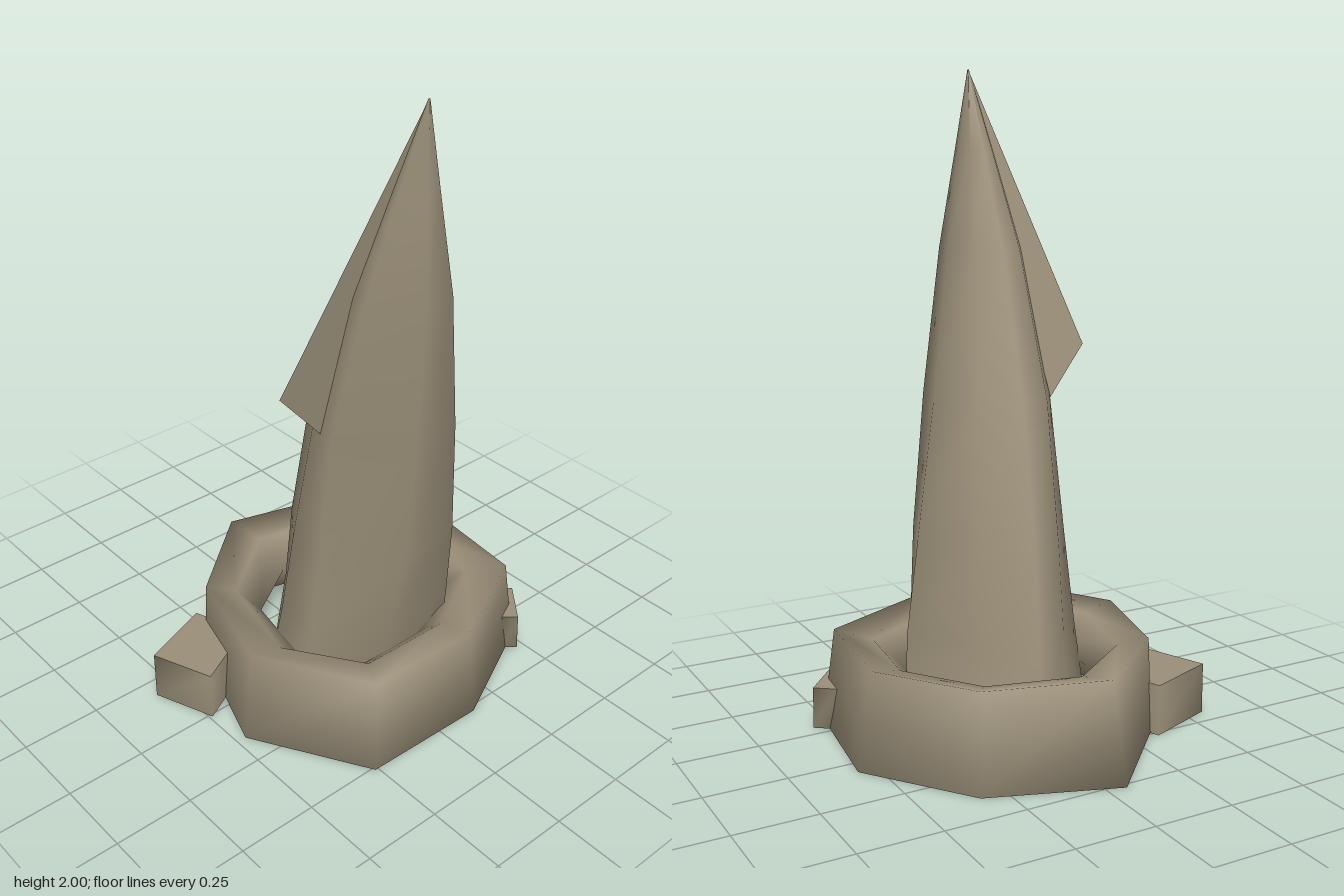
import * as THREE from 'three';

// Skin a stack of equal-length loops (each point is [x, y, z], clockwise seen from above)
function loft(loops, { wrap = false, caps = false } = {}) {
  const n = loops[0].length, m = loops.length;
  const pos = loops.flat(), idx = [];
  for (let j = 0; j < (wrap ? m : m - 1); j++) {
    for (let i = 0; i < n; i++) {
      const k = (i + 1) % n, u = (j + 1) % m;
      const a = j * n + i, b = j * n + k, c = u * n + i, d = u * n + k;
      idx.push(a, c, b, b, c, d);
    }
  }
  if (caps) {
    for (const [loop, up] of [[loops[0], false], [loops[m - 1], true]]) {
      const start = pos.length;
      pos.push(...loop, [0, 1, 2].map((c) => loop.reduce((s, p) => s + p[c], 0) / n));
      for (let i = 0; i < n; i++) {
        const a = start + i, b = start + (i + 1) % n, c = start + n;
        if (up) idx.push(b, a, c); else idx.push(a, b, c);
      }
    }
  }
  const g = new THREE.BufferGeometry();
  g.setAttribute('position', new THREE.Float32BufferAttribute(pos.flat(), 3));
  g.setIndex(idx);
  g.computeVertexNormals();
  return g;
}

export function createModel() {
  const group = new THREE.Group();
  const stone = new THREE.MeshStandardMaterial({ color: 0x9a8f78, side: THREE.DoubleSide });
  stone.name = 'stone';
  const add = (name, geometry) => {
    const mesh = new THREE.Mesh(geometry, stone);
    mesh.name = name;
    group.add(mesh);
  };
  const mix = THREE.MathUtils.lerp;

  // Eight-sided collar: sloped outer wall, top and underside rounding in to meet at the hole
  const outer = [[-0.06, -0.52], [0.33, -0.38], [0.56, -0.06], [0.505, 0.345],
    [0.145, 0.52], [-0.26, 0.51], [-0.47, 0.15], [-0.34, -0.23]];
  const rim = [[-0.055, -0.45], [0.31, -0.345], [0.512, -0.055], [0.47, 0.328],
    [0.135, 0.492], [-0.235, 0.482], [-0.43, 0.145], [-0.335, -0.215]];
  const hole = [[0, -0.24], [0.21, -0.2], [0.33, -0.02], [0.3, 0.17],
    [0.11, 0.29], [-0.12, 0.29], [-0.24, 0.15], [-0.19, -0.12]];
  const middle = rim.map(([x, z], i) => [mix(x, hole[i][0], 0.55), mix(z, hole[i][1], 0.55)]);
  const at = (pts, y) => pts.map(([x, z]) => [x, y, z]);
  add('collar', loft([at(outer, 0), at(rim, 0.295), at(middle, 0.272), at(hole, 0.185),
    at(middle, 0.055)], { wrap: true }));

  // Leaning spike: a section fitted into the extents at each height, turning boxier upward
  const lower = [[0.52, 0], [0.75, 0.28], [1, 0.7], [0.86, 0.96],
    [0.38, 1], [0, 0.74], [0.05, 0.42], [0.25, 0.2]];
  const upper = [[0.52, 0], [0.92, 0.09], [1, 0.6], [0.92, 0.97],
    [0.48, 1], [0, 0.56], [0.03, 0.35], [0.2, 0.12]];
  const levels = [ // y, xMin, xMax, zMin, zMax
    [0.11, -0.25, 0.32, -0.24, 0.29],
    [0.3, -0.24, 0.295, -0.2, 0.325],
    [0.58, -0.22, 0.24, -0.14, 0.37],
    [1.0, -0.215, 0.15, 0.01, 0.42],
    [1.45, -0.185, 0.05, 0.205, 0.465],
    [1.75, -0.125, -0.015, 0.335, 0.455],
    [2, -0.072, -0.068, 0.443, 0.447],
  ];
  add('spike', loft(levels.map(([y, x0, x1, z0, z1]) => {
    const t = THREE.MathUtils.clamp((y - 0.3) / 0.85, 0, 1);
    return lower.map(([u, v], i) =>
      [mix(x0, x1, mix(u, upper[i][0], t)), y, mix(z0, z1, mix(v, upper[i][1], t))]);
  }), { caps: true }));

  // Side flake: wedge flaring off the spike's rear face, running up to the tip
  const tip = [-0.07, 2, 0.445], point = [-0.335, 1.15, 0.18];
  const root = [-0.205, 1.0, 0.2], back = [-0.185, 1.0, 0.125];
  const flake = new THREE.BufferGeometry();
  flake.setAttribute('position', new THREE.Float32BufferAttribute(
    [tip, back, point, back, root, point, tip, point, root].flat(), 3));
  flake.computeVertexNormals();
  add('sideFlake', flake);

  // Loose blocks leaning against the collar
  const large = [[-0.34, -0.27], [-0.28, -0.1], [-0.49, 0.01], [-0.565, -0.185]];
  add('largeBlock', loft([at(large, 0), at(large, 0.16)], { caps: true }));
  const small = [[0.5, 0.24], [0.56, 0.285], [0.46, 0.405], [0.42, 0.37]];
  const smallFoot = small.map(([x, z]) => [mix(0.54, x, 0.85), mix(0.37, z, 0.85)]);
  add('smallBlock', loft([at(smallFoot, 0), at(small, 0.135)], { caps: true }));

  return group;
}
